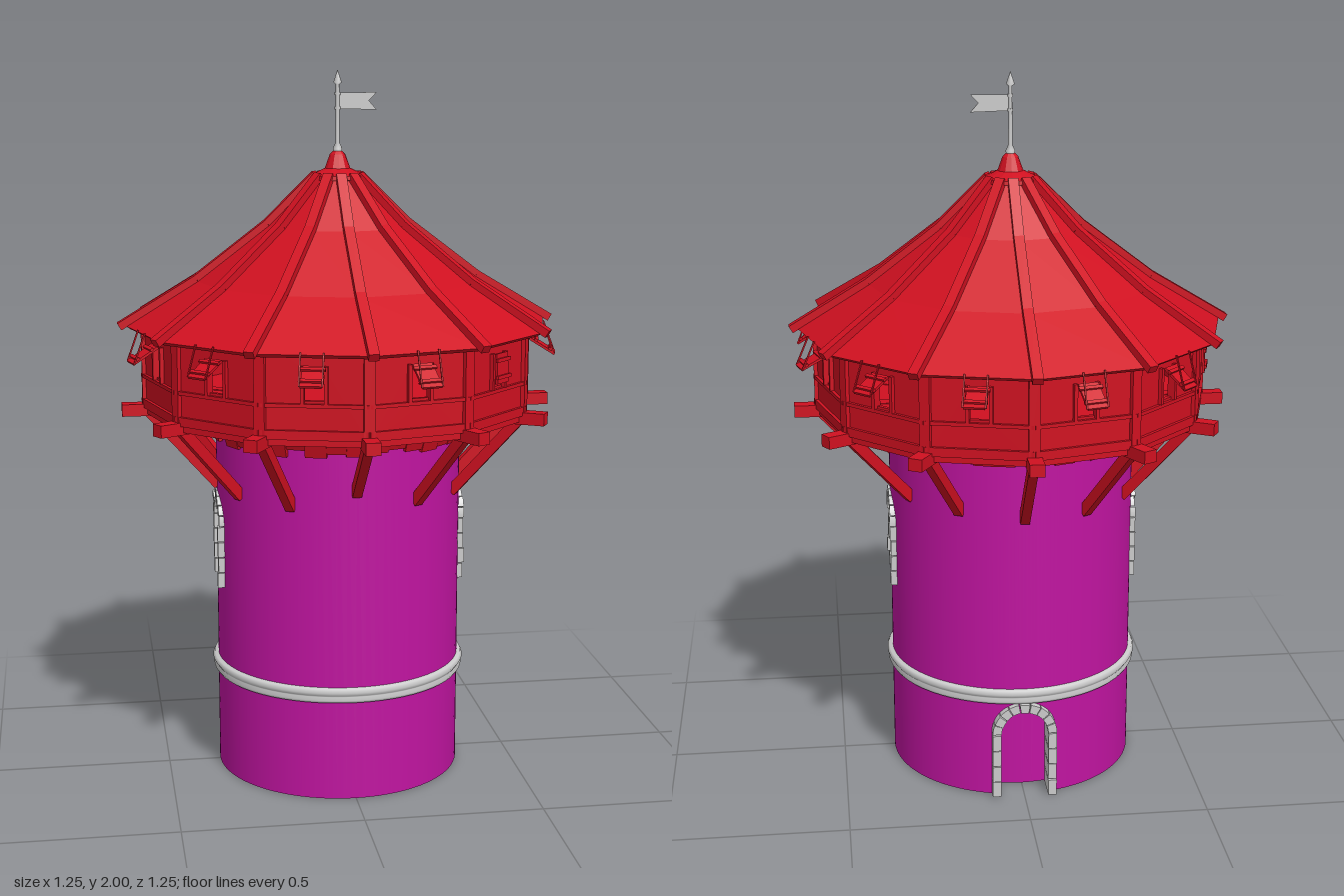
import * as THREE from 'three';

const mat = (color, flatShading = false) =>
  new THREE.MeshStandardMaterial({ color, flatShading, side: THREE.DoubleSide });
const red = mat(0xd01020, true);
const purple = mat(0xc014a0);
const stone = mat(0xcccccc, true);
const metal = mat(0xcccccc);

const V = (x, y, z) => new THREE.Vector3(x, y, z);
const STEP = Math.PI / 6; // twelve-sided gallery and roof

let seed = 7;
const rand = () => (seed = (seed * 16807) % 2147483647) / 2147483647;

function add(parent, name, geo, material, x = 0, y = 0, z = 0) {
  const m = new THREE.Mesh(geo, material);
  m.name = name;
  m.position.set(x, y, z);
  parent.add(m);
  return m;
}

// Squared timber running from a to b
function beam(parent, name, a, b, w, h, material = red) {
  const m = new THREE.Mesh(new THREE.BoxGeometry(w, h, a.distanceTo(b)), material);
  m.name = name;
  m.position.copy(a).lerp(b, 0.5);
  m.lookAt(b);
  parent.add(m);
}

// Group turned so that its +z points outward at the given angle
function spoke(parent, name, angle) {
  const g = new THREE.Group();
  g.name = name;
  g.rotation.y = angle;
  parent.add(g);
  return g;
}

const lathe = (pts, n) => new THREE.LatheGeometry(pts.map(p => new THREE.Vector2(...p)), n);

// Curved wall patch between two angles, with lower and upper edges by rule
function wallPatch(t0, t1, n, lo, hi) {
  const pos = [], nor = [], idx = [];
  for (let i = 0; i <= n; i++) {
    const t = t0 + (t1 - t0) * i / n, s = Math.sin(t), c = Math.cos(t);
    for (const y of [lo(t), hi(t)]) {
      pos.push(R * s, y, R * c);
      nor.push(s, 0, c);
    }
    if (i < n) idx.push(2 * i, 2 * i + 2, 2 * i + 1, 2 * i + 1, 2 * i + 2, 2 * i + 3);
  }
  const g = new THREE.BufferGeometry();
  g.setAttribute('position', new THREE.Float32BufferAttribute(pos, 3));
  g.setAttribute('normal', new THREE.Float32BufferAttribute(nor, 3));
  g.setIndex(idx);
  return g;
}

const R = 0.35, RIN = 0.285, TOP = 1.04, HOLE = 0.08;
const HALF = Math.asin(HOLE / R);
const openings = [
  { name: 'rightWindow', angle: Math.PI / 2, sill: 0.55, spring: 0.73, front: 0.358 },
  { name: 'door', angle: Math.PI, sill: 0, spring: 0.195, front: 0.37 },
  { name: 'leftWindow', angle: Math.PI * 1.5, sill: 0.55, spring: 0.73, front: 0.358 },
];

// Stone surround: stacked jamb blocks and a ring of wedge stones
function surround(parent, o) {
  const g = spoke(parent, o.name + 'Surround', o.angle);
  const rows = Math.round((o.spring - o.sill) / 0.045), h = (o.spring - o.sill) / rows;
  const depth = () => 0.082 + rand() * 0.006;
  for (const side of [-1, 1]) for (let i = 0; i < rows; i++) {
    const d = depth();
    add(g, 'jambStone', new THREE.BoxGeometry(0.024, h - 0.003, d), stone,
      side * 0.079, o.sill + h * (i + 0.5), o.front - 0.088 + d / 2);
  }
  const n = 9, a = Math.PI / n;
  for (let i = 0; i < n; i++) {
    const s = new THREE.Shape();
    s.absarc(0, 0, 0.091, a * i + 0.015, a * (i + 1) - 0.015, false);
    s.absarc(0, 0, 0.066, a * (i + 1) - 0.015, a * i + 0.015, true);
    const geo = new THREE.ExtrudeGeometry(s, { depth: depth(), bevelEnabled: false, curveSegments: 3 });
    add(g, 'archStone', geo, stone, 0, o.spring, o.front - 0.088);
  }
  if (o.sill) add(g, 'sill', new THREE.BoxGeometry(0.15, 0.02, 0.06), purple, 0, o.sill - 0.01, 0.308);
}

function buildTower(root) {
  const g = new THREE.Group();
  g.name = 'tower';
  root.add(g);
  openings.forEach((o, i) => {
    const arch = t => o.spring + Math.sqrt(Math.max(0, HOLE ** 2 - (R * Math.sin(t - o.angle)) ** 2));
    const a = o.angle - HALF, b = o.angle + HALF;
    const next = i < 2 ? openings[i + 1].angle : openings[0].angle + 2 * Math.PI;
    add(g, 'wallAboveOpening', wallPatch(a, b, 16, arch, () => TOP), purple);
    if (o.sill) add(g, 'wallBelowOpening', wallPatch(a, b, 16, () => 0, () => o.sill), purple);
    add(g, 'wall', wallPatch(b, next - HALF, 36, () => 0, () => TOP), purple);
    surround(g, o);
  });
  // Inner core, floor and the wall's underside (open at the door)
  add(g, 'innerWall', new THREE.CylinderGeometry(RIN, RIN, TOP, 64, 1, true), purple, 0, TOP / 2, 0);
  add(g, 'floor', new THREE.CircleGeometry(RIN, 64), purple, 0, 0.012, 0).rotation.x = Math.PI / 2;
  const under = new THREE.RingGeometry(RIN, R, 64, 1, -Math.PI / 2 + HALF, 2 * Math.PI - 2 * HALF);
  add(g, 'wallUnderside', under, purple).rotation.x = Math.PI / 2;
  // Moulded stone band
  add(g, 'stoneBand', lathe([[0.345, 0.283], [0.358, 0.285], [0.363, 0.293], [0.358, 0.302], [0.361, 0.306],
    [0.366, 0.315], [0.361, 0.325], [0.345, 0.328]], 64), metal);
  // Ragged boards under the gallery
  for (let i = 0; i < 40; i++) {
    const s = spoke(g, 'skirtBoard', i * Math.PI / 20), y = 0.975 + rand() * 0.025;
    beam(s, 'board', V(0, y, 0.352), V(0, 1.05, 0.372), 0.06, 0.012);
  }
}

const CORNER = 0.55, FACE = CORNER * Math.cos(STEP / 2), WIDTH = 2 * CORNER * Math.sin(STEP / 2);

function buildGallery(root) {
  const g = new THREE.Group();
  g.name = 'gallery';
  root.add(g);
  add(g, 'galleryFloor', new THREE.CylinderGeometry(CORNER, CORNER, 0.025, 12), red, 0, 1.062, 0);

  // Wall panel with a window hole
  const w = WIDTH / 2, s = new THREE.Shape();
  s.moveTo(-w, 1.06).lineTo(w, 1.06).lineTo(w, 1.325).lineTo(-w, 1.325);
  const hole = new THREE.Path();
  hole.moveTo(-0.026, 1.17).lineTo(-0.026, 1.255).lineTo(0.026, 1.255).lineTo(0.026, 1.17);
  s.holes.push(hole);
  const panel = new THREE.ExtrudeGeometry(s, { depth: 0.012, bevelEnabled: false });

  for (let k = 0; k < 12; k++) {
    const f = spoke(g, 'galleryBay', (k + 0.5) * STEP);
    add(f, 'wallPanel', panel, red, 0, 0, FACE - 0.012);
    for (const [y, h] of [[1.08, 0.025], [1.158, 0.01], [1.3, 0.025]])
      add(f, 'rail', new THREE.BoxGeometry(WIDTH, h, 0.012), red, 0, y, FACE + 0.003);
    for (const x of [-0.031, 0.031])
      add(f, 'windowFrame', new THREE.BoxGeometry(0.01, 0.1, 0.014), red, x, 1.212, FACE + 0.004);

    // Top-hung shutter, propped open except on two bays
    const open = k === 1 || k === 8 ? 0.05 : 0.85 + 0.3 * rand();
    const sh = new THREE.Group();
    sh.name = 'shutter';
    sh.position.set(0, 1.262, FACE + 0.013);
    sh.rotation.x = -open;
    f.add(sh);
    add(sh, 'flap', new THREE.BoxGeometry(0.056, 0.082, 0.007), red, 0, -0.041, 0);
    for (const y of [-0.018, -0.064])
      add(sh, 'batten', new THREE.BoxGeometry(0.066, 0.01, 0.007), red, 0, y, 0.006);
    if (open > 0.1) for (const x of [-0.03, 0.03])
      beam(f, 'shutterCord', V(x, 1.262 - 0.08 * Math.cos(open), FACE + 0.013 + 0.08 * Math.sin(open)),
        V(x, 1.305, FACE + 0.05), 0.004, 0.004);

    // Corner post, floor beam and diagonal strut
    const c = spoke(g, 'galleryFrame', k * STEP);
    add(c, 'post', new THREE.BoxGeometry(0.03, 0.26, 0.03), red, 0, 1.19, CORNER - 0.008);
    add(c, 'floorBeam', new THREE.BoxGeometry(0.04, 0.034, 0.29), red, 0, 1.06, 0.47);
    const drop = k === 0 ? 0.05 : 0.02 * rand();
    beam(c, 'strut', V(0, 0.83 + drop, 0.345), V(0, 1.055, 0.54), 0.026, 0.03);
  }
}

function buildRoof(root) {
  const g = new THREE.Group();
  g.name = 'roof';
  root.add(g);
  const profile = [[0.6, 1.298], [0.4, 1.42], [0.2, 1.572], [0.065, 1.705]];
  add(g, 'roofPlanes', lathe([[0.585, 1.288], ...profile], 12), red);
  for (let k = 0; k < 12; k++) {
    const c = spoke(g, 'ridge', k * STEP);
    const pts = [[0.617, 1.29], ...profile.slice(1)].map(([r, y]) => V(0, y + 0.007, r));
    for (let i = 0; i < 3; i++) beam(c, 'ridgeBeam', pts[i], pts[i + 1], 0.028, 0.022);
  }
  add(g, 'roofCap', lathe([[0, 1.69], [0.08, 1.7], [0.078, 1.711], [0.036, 1.73],
    [0.022, 1.768], [0.012, 1.778], [0, 1.778]], 12), red);
}

function buildVane(root) {
  const g = new THREE.Group();
  g.name = 'weatherVane';
  root.add(g);
  add(g, 'pole', lathe([[0.012, 1.77], [0.013, 1.785], [0.006, 1.8], [0.005, 1.96],
    [0.012, 1.965], [0, 2]], 12), metal);
  for (const y of [1.895, 1.935]) add(g, 'collar', new THREE.CylinderGeometry(0.008, 0.008, 0.008, 12), metal, 0, y, 0);
  const s = new THREE.Shape();
  s.moveTo(0.004, 1.893).lineTo(0.11, 1.89).lineTo(0.088, 1.915).lineTo(0.11, 1.938).lineTo(0.004, 1.937);
  add(g, 'flag', new THREE.ExtrudeGeometry(s, { depth: 0.004, bevelEnabled: false }), stone, 0, 0, -0.002);
}

export function createModel() {
  const root = new THREE.Group();
  root.name = 'watchtower';
  seed = 7;
  buildTower(root);
  buildGallery(root);
  buildRoof(root);
  buildVane(root);
  return root;
}
